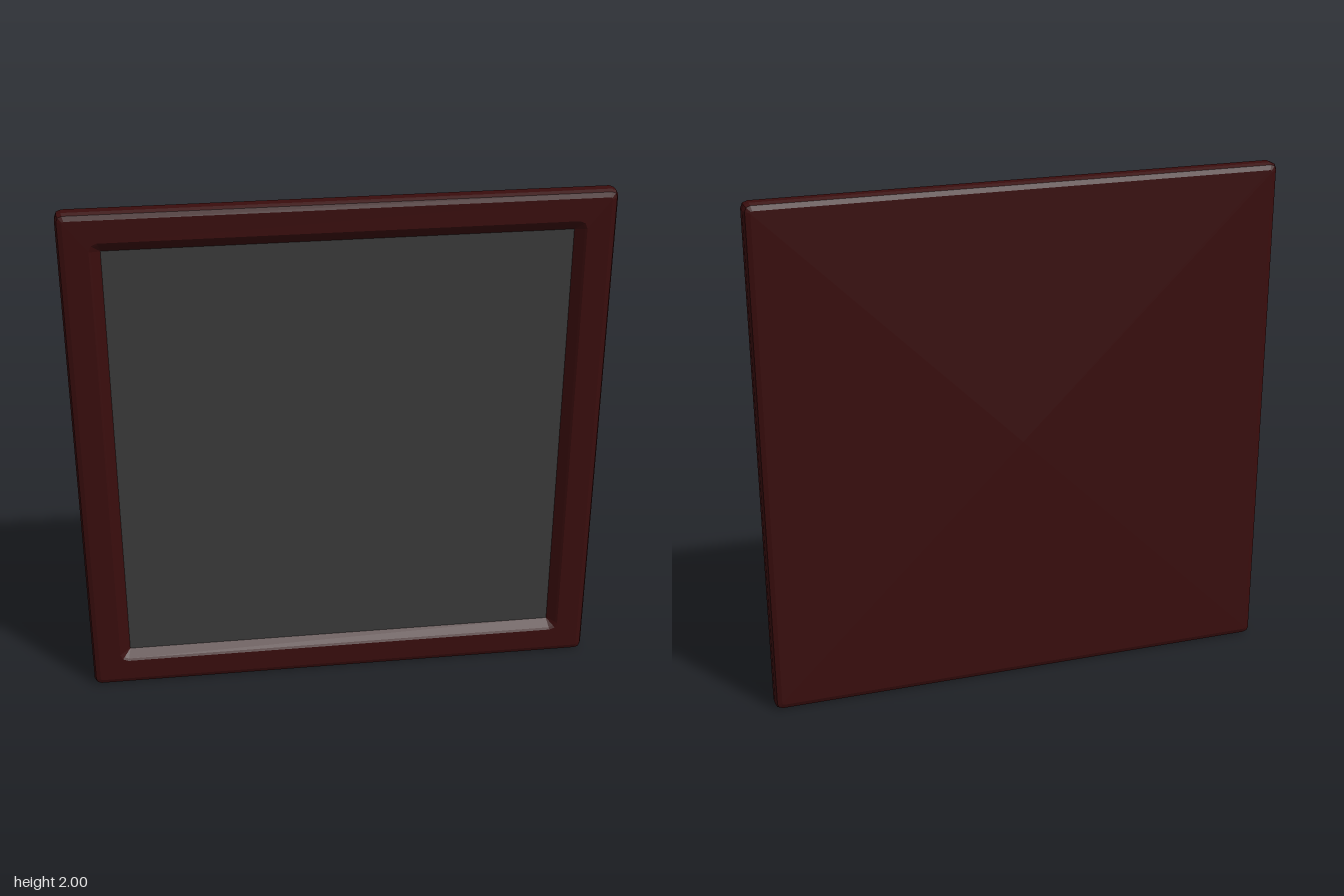
import * as THREE from 'three';

const frameMaterial = new THREE.MeshStandardMaterial({ color: 0x3a0d0d });
frameMaterial.name = 'dark red wood';
const panelMaterial = new THREE.MeshStandardMaterial({ color: 0x3b3b3b });
panelMaterial.name = 'dark grey';

// Square outline with rounded corners, counter-clockwise from the front
function squareRing(half, radius, z) {
  const points = [];
  for (let corner = 0; corner < 4; corner++) {
    const mid = Math.PI / 4 + corner * Math.PI / 2;
    const cx = Math.sign(Math.cos(mid)) * (half - radius);
    const cy = Math.sign(Math.sin(mid)) * (half - radius);
    for (let k = -1; k <= 1; k++) {
      const a = mid + k * Math.PI / 4;
      points.push([cx + radius * Math.cos(a), 1 + cy + radius * Math.sin(a), z]);
    }
  }
  return points;
}

// Facets joining the rings, plus a flat cap over the first (back) ring
function loftRings(rings) {
  const positions = [];
  const n = rings[0].length;
  for (let j = 0; j < n; j++) {
    const k = (j + 1) % n;
    positions.push(0, 1, rings[0][0][2], ...rings[0][k], ...rings[0][j]);
    for (let i = 0; i < rings.length - 1; i++) {
      const a = rings[i][j], b = rings[i][k], c = rings[i + 1][k], d = rings[i + 1][j];
      positions.push(...a, ...b, ...c, ...a, ...c, ...d);
    }
  }
  const geometry = new THREE.BufferGeometry();
  geometry.setAttribute('position', new THREE.Float32BufferAttribute(positions, 3));
  geometry.computeVertexNormals();
  return geometry;
}

export function createModel() {
  const model = new THREE.Group();
  model.name = 'framedBoard';

  // Frame section from the back, round the bevelled edge, into the recess: half size, corner radius, z
  const section = [
    [0.975, 0.008, -0.04], [0.993, 0.02, -0.033], [1, 0.025, -0.018],
    [1, 0.025, 0.018], [0.993, 0.02, 0.033], [0.975, 0.008, 0.04],
    [0.89, 0.03, 0.04], [0.882, 0.025, 0.035], [0.85, 0.001, 0.01],
  ];
  const frame = new THREE.Mesh(loftRings(section.map((s) => squareRing(...s))), frameMaterial);
  frame.name = 'frame';
  model.add(frame);

  // Recessed board face
  const panel = new THREE.Mesh(new THREE.PlaneGeometry(1.7, 1.7), panelMaterial);
  panel.name = 'panel';
  panel.position.set(0, 1, 0.01);
  model.add(panel);

  return model;
}
